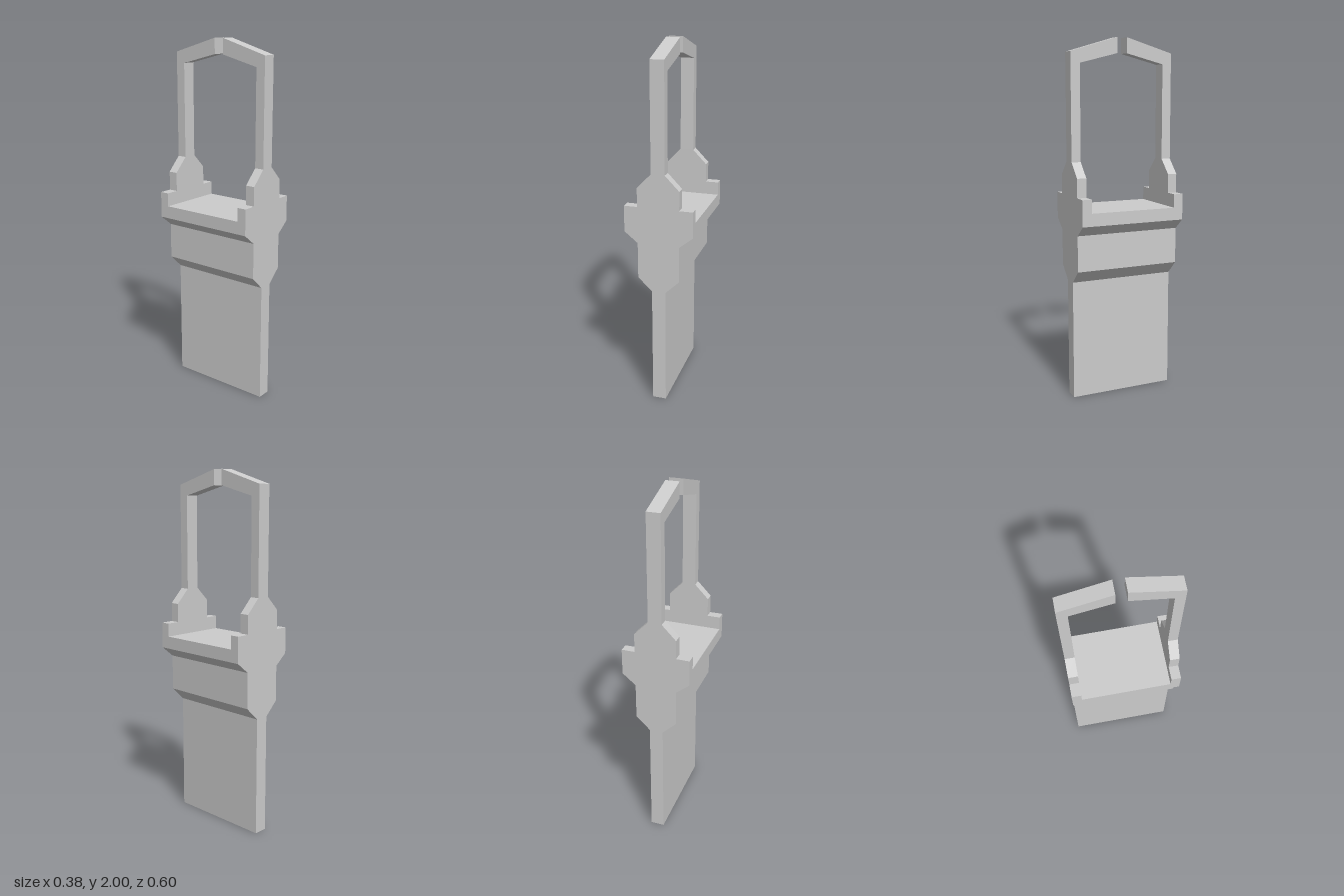
import * as THREE from 'three';

const DEPTH = 0.6;       // full depth along z
const WALL = 0.053;      // thickness of the end walls and posts
const FLOOR = 1.075;     // height of the tray floor
const POST = 0.038;      // half width of the blade and posts

const material = new THREE.MeshStandardMaterial({ color: 0xcccccc, flatShading: true });

// Extrudes an outline, centred on its extrusion axis.
function prism(points, depth) {
  const shape = new THREE.Shape(points.map(([x, y]) => new THREE.Vector2(x, y)));
  return new THREE.ExtrudeGeometry(shape, { depth, bevelEnabled: false }).translate(0, 0, -depth / 2);
}

// Completes a right-hand outline (bottom to top) with its mirror image.
function symmetric(half) {
  return [...half, ...half.map(([x, y]) => [-x, y]).reverse()];
}

function part(name, geometry) {
  const mesh = new THREE.Mesh(geometry, material);
  mesh.name = name;
  return mesh;
}

export function createModel() {
  const model = new THREE.Group();
  model.name = 'bladeWithClip';

  // Flat blade widening into the stepped body, up to the tray floor
  model.add(part('bladeAndBody', prism(symmetric([
    [POST, 0], [POST, 0.67], [0.116, 0.745], [0.116, 0.945], [0.19, 1.005], [0.19, FLOOR],
  ]), DEPTH)));

  // Stepped end wall above the floor, tapering to the post
  const wall = prism(symmetric([
    [0.19, FLOOR], [0.19, 1.15], [0.116, 1.15], [0.116, 1.255], [POST, 1.335],
  ]), WALL).translate(0, 0, DEPTH / 2 - WALL / 2);

  // Upright post with its sloping arm, drawn in the z-y plane
  const outer = DEPTH / 2, inner = outer - WALL;
  const arm = prism([
    [inner, 1.335], [outer, 1.335], [outer, 1.92], [0.028, 2], [0.028, 1.915], [inner, 1.86],
  ], POST * 2).rotateY(-Math.PI / 2);

  // The front end and the back end are the same, turned half round
  ['front', 'back'].forEach((side, i) => {
    const end = new THREE.Group();
    end.name = side + 'End';
    end.add(part(side + 'Wall', wall), part(side + 'PostAndArm', arm));
    end.rotation.y = i * Math.PI;
    model.add(end);
  });

  return model;
}
